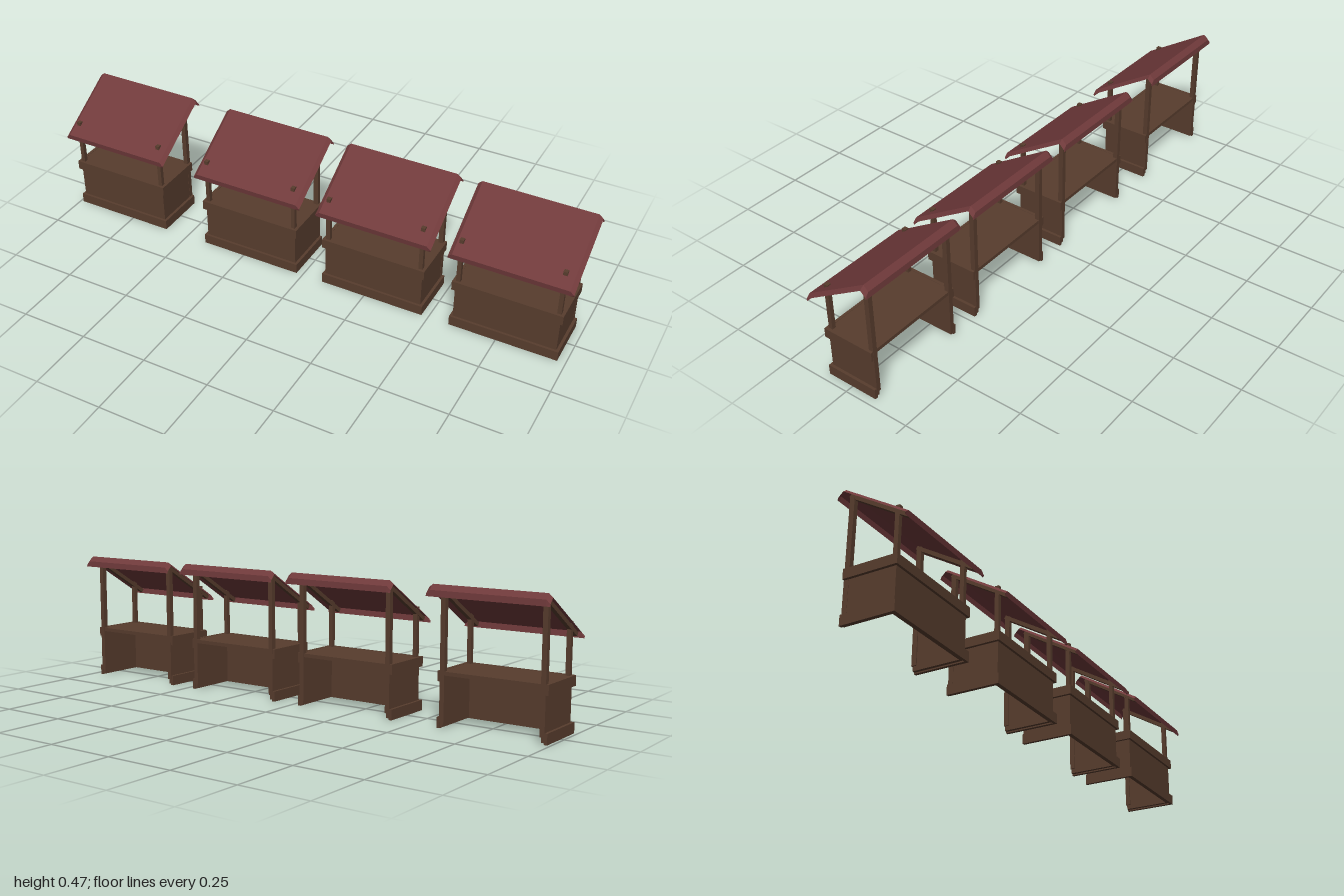
import * as THREE from 'three';

const wood = new THREE.MeshStandardMaterial({ color: 0x583d2e });
wood.name = 'brown wood';
const cloth = new THREE.MeshStandardMaterial({ color: 0x703a3b, side: THREE.DoubleSide });
cloth.name = 'dull red roofing';

// Box given by its extents on each axis
function block(name, [x0, x1], [y0, y1], [z0, z1]) {
  const g = new THREE.BoxGeometry(x1 - x0, y1 - y0, z1 - z0);
  g.translate((x0 + x1) / 2, (y0 + y1) / 2, (z0 + z1) / 2);
  const m = new THREE.Mesh(g, wood);
  m.name = name;
  return m;
}

// Roof sheet: front lip, long slope, ridge, short back slope and back lip; its sides droop
function roofGeometry() {
  const profile = [[0.127, 0.307], [0.13, 0.327], [-0.111, 0.475], [-0.129, 0.457], [-0.131, 0.436]];
  const stations = [[-0.2175, 0.013], [-0.203, 0], [0.203, 0], [0.2175, 0.013]];
  const point = (i, j) => {
    const [z, y] = profile[i];
    const [x, drop] = stations[j];
    const lip = i === 0 || i === profile.length - 1;
    return [x, y - (lip ? 0 : drop), z];
  };
  const pos = [];
  for (let i = 0; i < profile.length - 1; i++) {
    for (let j = 0; j < stations.length - 1; j++) {
      const a = point(i, j), b = point(i, j + 1), c = point(i + 1, j + 1), d = point(i + 1, j);
      pos.push(...a, ...b, ...c, ...a, ...c, ...d);
    }
  }
  const g = new THREE.BufferGeometry();
  g.setAttribute('position', new THREE.Float32BufferAttribute(pos, 3));
  g.computeVertexNormals();
  return g;
}

function createStall() {
  const stall = new THREE.Group();

  // Counter, open at the back and underneath
  stall.add(block('frontPanel', [-0.187, 0.187], [0.005, 0.18], [0.078, 0.091]));
  stall.add(block('counterTop', [-0.188, 0.188], [0.177, 0.19], [-0.097, 0.092]));

  // Base and counter bands along the front
  for (const [name, y] of [['baseBand', [0, 0.037]], ['counterBand', [0.156, 0.191]]]) {
    stall.add(block(name + 'Front', [-0.197, 0.197], y, [0.09, 0.1]));
  }

  for (const s of [-1, 1]) {
    const side = s > 0 ? 'Left' : 'Right';
    const span = (a, b) => (s > 0 ? [a, b] : [-b, -a]);
    stall.add(block('sidePanel' + side, span(0.175, 0.187), [0.005, 0.18], [-0.096, 0.0905]));
    stall.add(block('baseBand' + side, span(0.186, 0.197), [0, 0.037], [-0.098, 0.09]));
    stall.add(block('counterBand' + side, span(0.186, 0.197), [0.156, 0.191], [-0.098, 0.09]));
    // Front posts poke through the roof
    stall.add(block('frontPost' + side, span(0.171, 0.186), [0.18, 0.365], [0.075, 0.0905]));
    stall.add(block('backPost' + side, span(0.171, 0.188), [0.022, 0.455], [-0.099, -0.081]));

    // Sloping rafter
    const rafter = new THREE.Mesh(new THREE.BoxGeometry(0.016, 0.014, 0.262), wood);
    rafter.name = 'rafter' + side;
    rafter.position.set(s * 0.179, 0.387, 0.012);
    rafter.rotation.x = Math.atan2(0.148, 0.241);
    stall.add(rafter);
  }

  const roof = new THREE.Mesh(roofGeometry(), cloth);
  roof.name = 'roof';
  roof.position.x = 0.009;
  stall.add(roof);
  return stall;
}

export function createModel() {
  const model = new THREE.Group();
  model.name = 'marketStalls';
  [-0.7915, -0.2215, 0.2775, 0.7735].forEach((x, i) => {
    const stall = createStall();
    stall.name = 'stall' + (i + 1);
    stall.position.x = x;
    model.add(stall);
  });
  return model;
}
